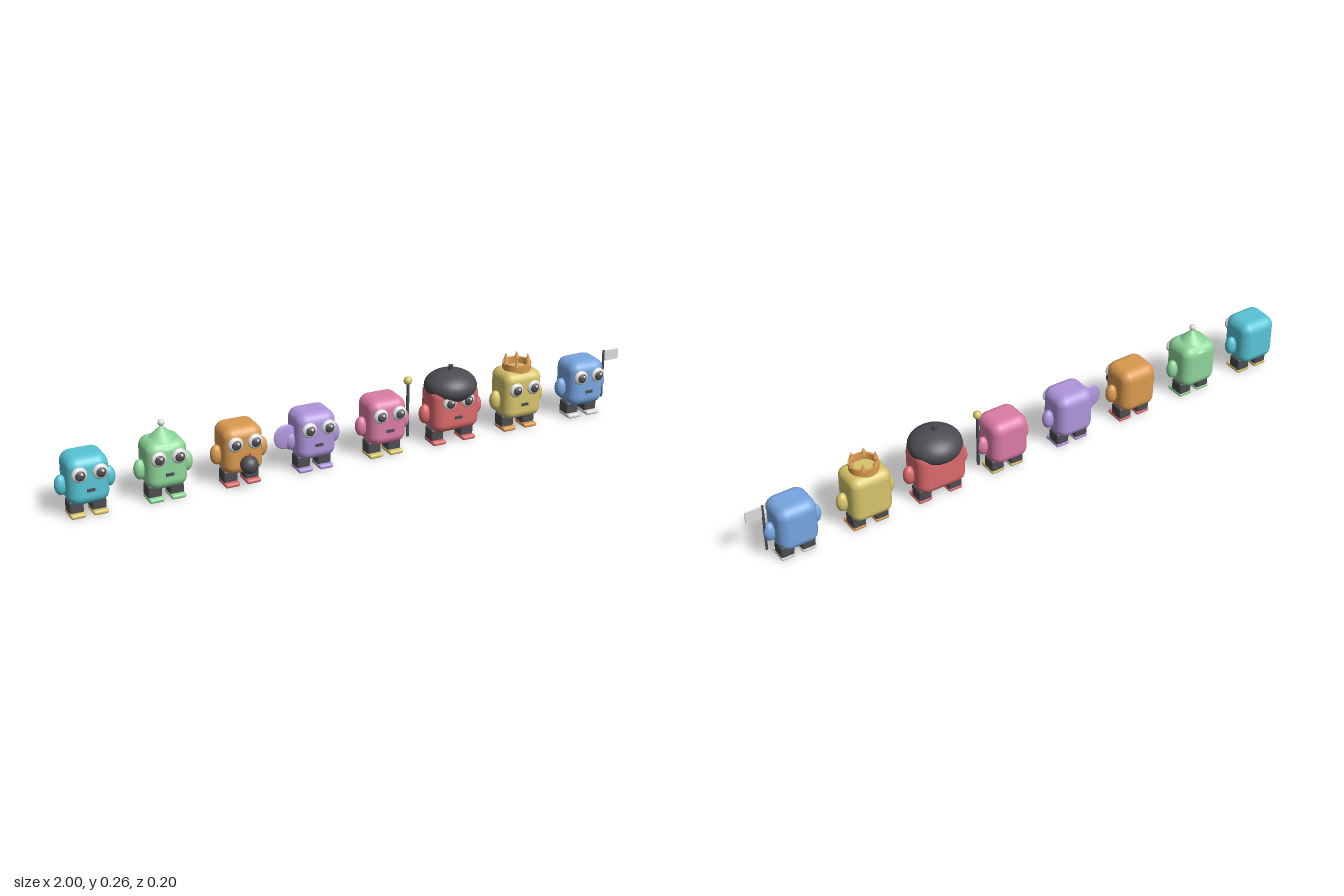
import * as THREE from 'three';
import { RoundedBoxGeometry } from 'three/addons/geometries/RoundedBoxGeometry.js';

const COLORS = {
  cyan: 0x58c4d6, green: 0x8ed69a, orange: 0xd99a50, purple: 0xb096dc, pink: 0xdc7ca6,
  red: 0xdc6a6c, yellow: 0xd6c46c, blue: 0x78a6e0, charcoal: 0x4c4c52, silver: 0xdcdcdc,
};
const BODY_Z = -0.014;

export function createModel() {
  const model = new THREE.Group();
  model.name = 'figureRow';
  const mats = {};
  for (const [name, color] of Object.entries(COLORS)) {
    mats[name] = new THREE.MeshStandardMaterial({ color });
    mats[name].name = name;
  }

  const add = (parent, name, geometry, color, x, y, z) => {
    const mesh = new THREE.Mesh(geometry, mats[color]);
    mesh.name = name;
    mesh.position.set(x, y, z);
    parent.add(mesh);
    return mesh;
  };
  const ellipsoid = (rx, ry, rz) => new THREE.SphereGeometry(1, 28, 18).scale(rx, ry, rz);
  const rod = (r, h) => new THREE.CylinderGeometry(r, r, h, 12);

  // One basic figure: body, arms, legs, feet and face
  function figure(color, footColor, x, { width = 0.132, top = 0.204, radius = 0.034 } = {}) {
    const g = new THREE.Group();
    g.name = color + 'Figure';
    g.position.x = x;
    model.add(g);
    const h = top - 0.046;
    add(g, 'body', new RoundedBoxGeometry(width, h, 0.12, 6, radius), color, 0, 0.046 + h / 2, BODY_Z);
    for (const s of [-1, 1]) {
      add(g, 'arm', ellipsoid(0.02, 0.033, 0.019), color, s * (width / 2 + 0.01), 0.108, -0.012);
      const lx = s * (width / 2 - 0.03);
      add(g, 'leg', new RoundedBoxGeometry(0.046, 0.044, 0.05, 3, 0.007), 'charcoal', lx, 0.03, -0.017);
      add(g, 'foot', new RoundedBoxGeometry(0.048, 0.014, 0.068, 3, 0.006), footColor, lx, 0.007, -0.009);
      // Eye: pale ball, dark pupil, small glint
      const ex = s * 0.033;
      add(g, 'eye', ellipsoid(0.025, 0.025, 0.012), 'silver', ex, 0.155, 0.045);
      add(g, 'pupil', ellipsoid(0.016, 0.016, 0.008), 'charcoal', ex, 0.155, 0.053);
      add(g, 'glint', ellipsoid(0.005, 0.005, 0.003), 'silver', ex + 0.004, 0.161, 0.059);
    }
    add(g, 'mouth', new THREE.BoxGeometry(0.026, 0.009, 0.006), 'charcoal', 0, 0.1, 0.047);
    return g;
  }

  const X = (i) => -0.907 + i * 0.251;
  figure('cyan', 'yellow', X(0));

  // Pointed cap with a bobble
  const capped = figure('green', 'green', X(1));
  add(capped, 'pointedCap', new THREE.ConeGeometry(0.062, 0.06, 32), 'green', 0, 0.212, BODY_Z);
  add(capped, 'bobble', ellipsoid(0.011, 0.011, 0.011), 'silver', 0, 0.249, BODY_Z);

  // Round bomb with a fuse
  const bomber = figure('orange', 'red', X(2));
  add(bomber, 'bomb', ellipsoid(0.029, 0.029, 0.029), 'charcoal', 0, 0.093, 0.073);
  const fuse = add(bomber, 'fuse', rod(0.004, 0.026), 'red', 0, 0.125, 0.08);
  fuse.rotation.x = 0.25;

  // Flat paddle held at the side
  const paddler = figure('purple', 'purple', X(3));
  add(paddler, 'paddle', ellipsoid(0.04, 0.042, 0.007), 'purple', -0.094, 0.125, -0.006);

  // Staff with a knob
  const staffBearer = figure('pink', 'yellow', X(4));
  add(staffBearer, 'staff', rod(0.005, 0.19), 'charcoal', 0.093, 0.135, -0.012);
  add(staffBearer, 'staffKnob', ellipsoid(0.014, 0.014, 0.014), 'yellow', 0.093, 0.236, -0.012);

  // Wide figure with a beret
  const wide = figure('red', 'red', X(5), { width: 0.17 });
  add(wide, 'beret', ellipsoid(0.088, 0.054, 0.086), 'charcoal', 0, 0.193, BODY_Z);
  add(wide, 'beretStem', rod(0.008, 0.026), 'charcoal', 0, 0.25, BODY_Z);

  // Crown: open ring with spikes
  const crowned = figure('yellow', 'orange', X(6), { width: 0.14, top: 0.21, radius: 0.03 });
  const ring = [[0.04, 0], [0.048, 0], [0.048, 0.027], [0.04, 0.027], [0.04, 0]];
  add(crowned, 'crownBand', new THREE.LatheGeometry(ring.map(([r, y]) => new THREE.Vector2(r, y)), 32)
    .toNonIndexed(), 'orange', 0, 0.205, BODY_Z).geometry.computeVertexNormals();
  for (let i = 0; i < 6; i++) {
    const a = (i * Math.PI) / 3;
    add(crowned, 'crownSpike', new THREE.ConeGeometry(0.009, 0.026, 12), 'orange',
      0.042 * Math.cos(a), 0.241, BODY_Z + 0.042 * Math.sin(a));
  }

  // Flag on a pole
  const flagBearer = figure('blue', 'silver', X(7));
  add(flagBearer, 'flagPole', rod(0.004, 0.168), 'charcoal', 0.091, 0.129, -0.012);
  add(flagBearer, 'flag', new THREE.BoxGeometry(0.056, 0.036, 0.004), 'silver', 0.121, 0.193, -0.012);

  return model;
}
